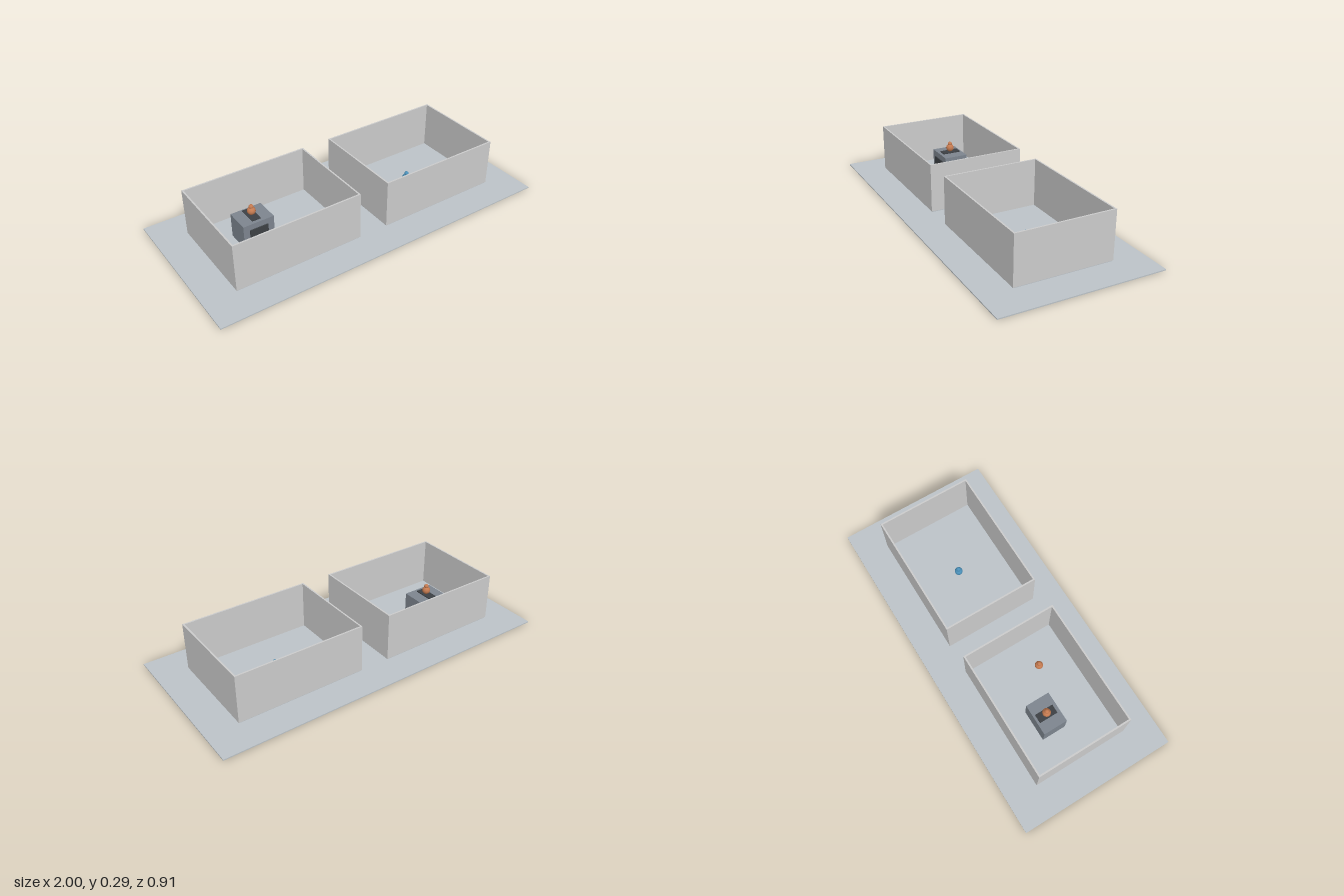
import * as THREE from 'three';

const material = (color) => new THREE.MeshStandardMaterial({ color });

function add(parent, name, geometry, mat, x, y, z) {
  const mesh = new THREE.Mesh(geometry, mat);
  mesh.name = name;
  mesh.position.set(x, y, z);
  parent.add(mesh);
  return mesh;
}

// Box placed by its base height
function box(parent, name, mat, w, h, d, x, base, z) {
  return add(parent, name, new THREE.BoxGeometry(w, h, d), mat, x, base + h / 2, z);
}

// Room with a thin floor and four walls centred on the floor's edges
function createRoom(name, x, wallMat, floorMat) {
  const room = new THREE.Group();
  room.name = name;
  room.position.x = x;
  const w = 0.727, d = 0.546, t = 0.009, base = 0.012, h = 0.274;
  box(room, 'roomFloor', floorMat, w, 0.006, d, 0, 0.006, 0);
  for (const s of [-1, 1]) {
    box(room, s > 0 ? 'frontWall' : 'backWall', wallMat, w + t, h, t, 0, base, s * d / 2);
    box(room, s > 0 ? 'leftWall' : 'rightWall', wallMat, t, h, d - t, s * w / 2, base, 0);
  }
  return room;
}

// Small round figure: body with a head on top
function createFigure(name, color, x, base, z) {
  const figure = new THREE.Group();
  figure.name = name;
  figure.position.set(x, base, z);
  const mat = material(color);
  add(figure, 'body', new THREE.SphereGeometry(0.023, 24, 16), mat, 0, 0.023, 0);
  add(figure, 'head', new THREE.SphereGeometry(0.013, 20, 14), mat, 0, 0.048, 0);
  return figure;
}

export function createModel() {
  const model = new THREE.Group();
  model.name = 'twoRooms';
  const wallMat = material(0xcccccc);
  const floorMat = material(0xbcc3c8);
  const deskMat = material(0x7d858f);
  const darkMat = material(0x3c4044);

  box(model, 'ground', floorMat, 2, 0.006, 0.909, 0, 0, 0);
  model.add(createRoom('rightRoom', -0.4545, wallMat, floorMat));
  model.add(createRoom('leftRoom', 0.4545, wallMat, floorMat));

  // Block with a dark pad on top and a thin panel on its front
  const block = new THREE.Group();
  block.name = 'platform';
  box(block, 'platformBlock', deskMat, 0.179, 0.141, 0.14, -0.547, 0.012, -0.048);
  box(block, 'pad', darkMat, 0.05, 0.005, 0.108, -0.549, 0.153, -0.051);
  box(block, 'frontPanel', darkMat, 0.106, 0.08, 0.006, -0.548, 0.04, 0.025);
  model.add(block);

  model.add(createFigure('platformFigure', 0xc47a50, -0.548, 0.158, -0.05));
  model.add(createFigure('floorFigure', 0xc47a50, -0.275, 0.012, 0.086));
  model.add(createFigure('blueFigure', 0x4a8fb8, 0.452, 0.012, -0.004));
  return model;
}
